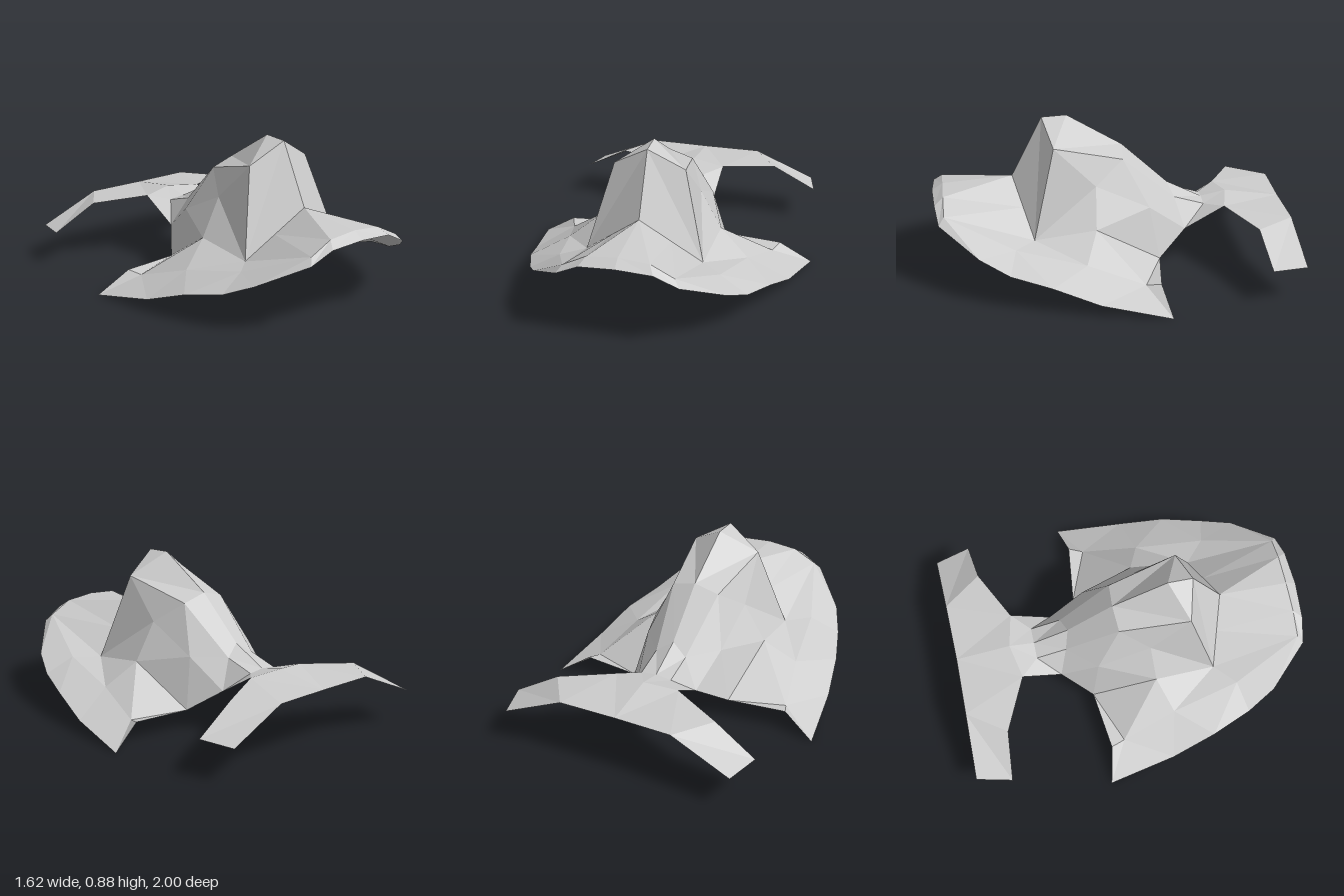
import * as THREE from 'three';

const hullGrey = new THREE.MeshStandardMaterial({ color: 0xcccccc, side: THREE.DoubleSide, flatShading: true });
hullGrey.name = 'hullGrey';

// Skins neighbouring rows of points (front row first, centre to outside) and mirrors the result across x.
function skin(name, rows) {
  const pos = [];
  const tri = (a, b, c) => {
    const [A, B, C] = [a, b, c].map((p) => new THREE.Vector3(...p));
    if (B.sub(A).cross(C.sub(A)).length() < 1e-6) return;
    pos.push(...a, ...b, ...c);
    for (const [x, y, z] of [a, c, b]) pos.push(-x, y, z);
  };
  for (let r = 0; r < rows.length - 1; r++) {
    const a = rows[r], b = rows[r + 1];
    for (let i = 0; i < a.length - 1; i++) {
      tri(a[i], a[i + 1], b[i]);
      tri(a[i + 1], b[i + 1], b[i]);
    }
  }
  const geo = new THREE.BufferGeometry();
  geo.setAttribute('position', new THREE.Float32BufferAttribute(pos, 3));
  geo.computeVertexNormals();
  const mesh = new THREE.Mesh(geo, hullGrey);
  mesh.name = name;
  return mesh;
}

export function createModel() {
  const group = new THREE.Group();
  group.name = 'glider';

  // Points shared between parts
  const crest = [0, 0.878, 0.38], shoulder = [0.2, 0.76, 0.33];
  const browCentre = [0, 0.54, 0.55], browCorner = [0.33, 0.28, 0.45];
  const wallFoot = [0.35, 0.33, 0.11], rearFoot = [0.3, 0.12, -0.25];
  const neckTop = [0, 0.36, -0.53], neckSide = [0.09, 0.35, -0.53];
  const rearEdge = [0.18, 0.24, -0.41];
  const tailRoot = [0, 0.39, -0.67], tailShoulder = [0.19, 0.37, -0.63];
  const wingMid = [0.45, 0.28, 0.56], wingRear = [0.6, 0.105, -0.13];
  const wingNotch = [0.63, 0.12, -0.21], wingTip = [0.81, 0, -0.25];

  // Raised hump: front face, then side walls running back to the neck
  group.add(skin('humpFront', [[browCentre, browCorner], [crest, shoulder]]));
  group.add(skin('humpWalls', [
    [crest, shoulder, [0.265, 0.52, 0.39], browCorner],
    [[0, 0.885, 0.24], shoulder, [0.23, 0.54, 0.1], wallFoot],
    [[0, 0.7, -0.07], [0.14, 0.66, -0.06], [0.23, 0.4, -0.2], rearFoot],
    [[0, 0.46, -0.33], [0.09, 0.4, -0.36], rearEdge, rearEdge],
    [neckTop, neckSide, neckSide, neckSide],
  ]));

  // Wide drooping wing shell: rim, mid line and inner line
  group.add(skin('wingShell', [
    [[0, 0.47, 1], [0.2, 0.455, 0.99], [0.33, 0.39, 0.97], [0.53, 0.27, 0.76],
      [0.61, 0.2, 0.6], [0.69, 0.155, 0.38], [0.75, 0.07, 0.13], wingTip],
    [[0, 0.51, 0.94], [0.17, 0.495, 0.94], [0.3, 0.43, 0.94], wingMid,
      wingMid, [0.52, 0.2, 0.18], wingRear, wingRear],
    [browCentre, [0.165, 0.41, 0.5], browCorner, browCorner,
      browCorner, wallFoot, rearFoot, rearFoot],
  ]));
  group.add(skin('wingTrailingEdge', [
    [rearFoot, wingRear, wingTip],
    [rearFoot, wingNotch, wingNotch],
  ]));

  // Neck, side struts and tail fin
  group.add(skin('neck', [[neckTop, neckSide], [tailRoot, tailShoulder]]));
  group.add(skin('neckStruts', [[neckSide, rearEdge], [tailShoulder, tailShoulder]]));
  group.add(skin('tailFin', [
    [tailRoot, tailShoulder, [0.48, 0.345, -0.77], [0.725, 0.205, -0.8]],
    [[0, 0.345, -0.98], [0.33, 0.345, -0.985], [0.33, 0.345, -0.985], [0.675, 0.195, -1]],
  ]));
  return group;
}
